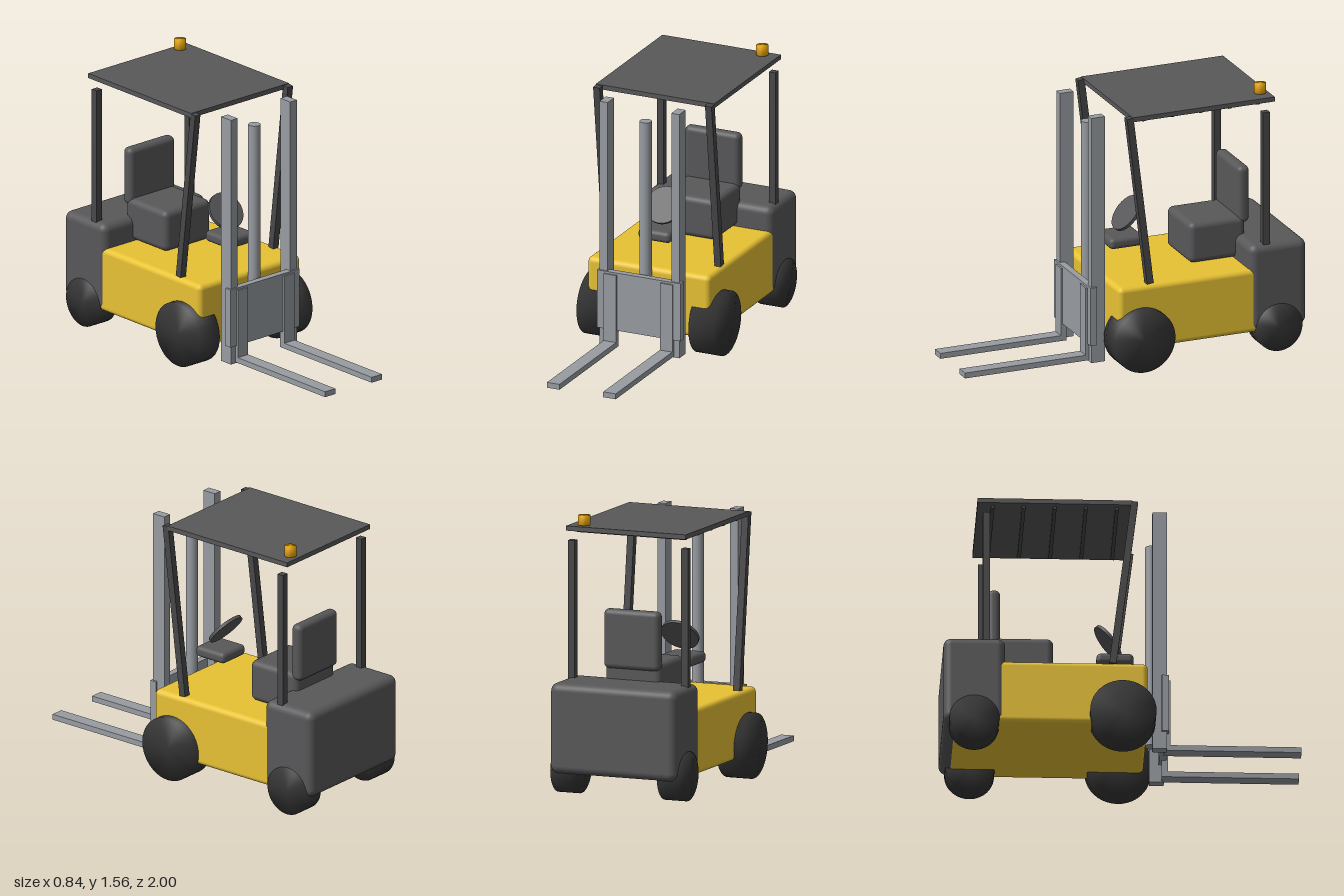
import * as THREE from 'three';
import { RoundedBoxGeometry } from 'three/addons/geometries/RoundedBoxGeometry.js';
import { mergeVertices } from 'three/addons/utils/BufferGeometryUtils.js';

const mat = (color) => new THREE.MeshStandardMaterial({ color });

export function createModel() {
  const model = new THREE.Group();
  const yellow = mat(0xe8c234), dark = mat(0x58585a), frame = mat(0x48484a);
  const rubber = mat(0x353535), steel = mat(0x989ca2), amber = mat(0xe6a400);

  const add = (name, geometry, material, x = 0, y = 0, z = 0) => {
    const mesh = new THREE.Mesh(geometry, material);
    mesh.name = name;
    mesh.position.set(x, y, z);
    model.add(mesh);
    return mesh;
  };
  // Boxes given by their limits on each axis; r rounds the edges
  const box = (name, material, [x0, x1], [y0, y1], [z0, z1], r = 0) => {
    const size = [x1 - x0, y1 - y0, z1 - z0];
    const geometry = r ? new RoundedBoxGeometry(...size, 4, r) : new THREE.BoxGeometry(...size);
    return add(name, geometry, material, (x0 + x1) / 2, (y0 + y1) / 2, (z0 + z1) / 2);
  };
  // Cylinder whose shading runs smoothly over the rim
  const softCylinder = (r, h) => {
    const g = new THREE.CylinderGeometry(r, r, h, 40);
    g.deleteAttribute('normal');
    g.deleteAttribute('uv');
    const merged = mergeVertices(g);
    merged.computeVertexNormals();
    return merged;
  };

  // Chassis and counterweight
  box('body', yellow, [-0.378, 0.378], [0.125, 0.5], [-0.95, 0.138], 0.03);
  box('counterweight', dark, [-0.385, 0.385], [0.13, 0.64], [-1, -0.655], 0.045);

  // Seat
  box('seatCushion', dark, [-0.17, 0.17], [0.503, 0.742], [-0.72, -0.38], 0.035);
  box('seatBack', dark, [-0.17, 0.17], [0.7, 1.035], [-0.745, -0.675], 0.03);

  // Controls
  box('dashboard', dark, [-0.1, 0.1], [0.626, 0.69], [-0.137, 0.07], 0.025);
  const steering = add('steeringWheel', new THREE.CylinderGeometry(0.11, 0.11, 0.018, 40), dark, 0, 0.797, -0.07);
  steering.rotation.x = 0.88;

  // Overhead guard
  box('roof', dark, [-0.365, 0.365], [1.473, 1.5], [-0.81, 0.05]);
  for (let i = 0; i < 5; i++) {
    const z = -0.033 - i * 0.173;
    box('roofSlat', frame, [-0.33, 0.33], [1.456, 1.474], [z - 0.01, z + 0.01]);
  }
  add('beacon', softCylinder(0.034, 0.056), amber, 0.275, 1.532, -0.76);

  for (const s of [-1, 1]) {
    const span = (a, b) => (s > 0 ? [a, b] : [-b, -a]);

    // Guard posts, the front pair leaning forward
    box('rearPost', frame, span(0.325, 0.365), [0.6, 1.415], [-0.78, -0.74]);
    const post = add('frontPost', new THREE.BoxGeometry(0.04, 1.0, 0.04), frame, s * 0.345, 0.999, 0.004);
    post.rotation.x = 0.122;

    // Wheels
    const front = add('frontWheel', softCylinder(0.185, 0.15), rubber, s * 0.345, 0.187, 0);
    const rear = add('rearWheel', softCylinder(0.139, 0.13), rubber, s * 0.325, 0.141, -0.828);
    front.rotation.z = rear.rotation.z = Math.PI / 2;

    // Mast uprights and forks
    box('mastUpright', steel, span(0.196, 0.246), [0.036, 1.485], [0.168, 0.25]);
    box('forkShank', steel, span(0.135, 0.212), [0.042, 0.472], [0.235, 0.27]);
    box('forkTine', steel, span(0.135, 0.212), [0.042, 0.074], [0.25, 1]);
  }

  // Lift cylinder and carriage
  add('liftCylinder', new THREE.CylinderGeometry(0.034, 0.034, 1.22, 32), steel, 0, 0.77, 0.17);
  box('carriage', steel, [-0.258, 0.258], [0.142, 0.484], [0.22, 0.26]);

  return model;
}
